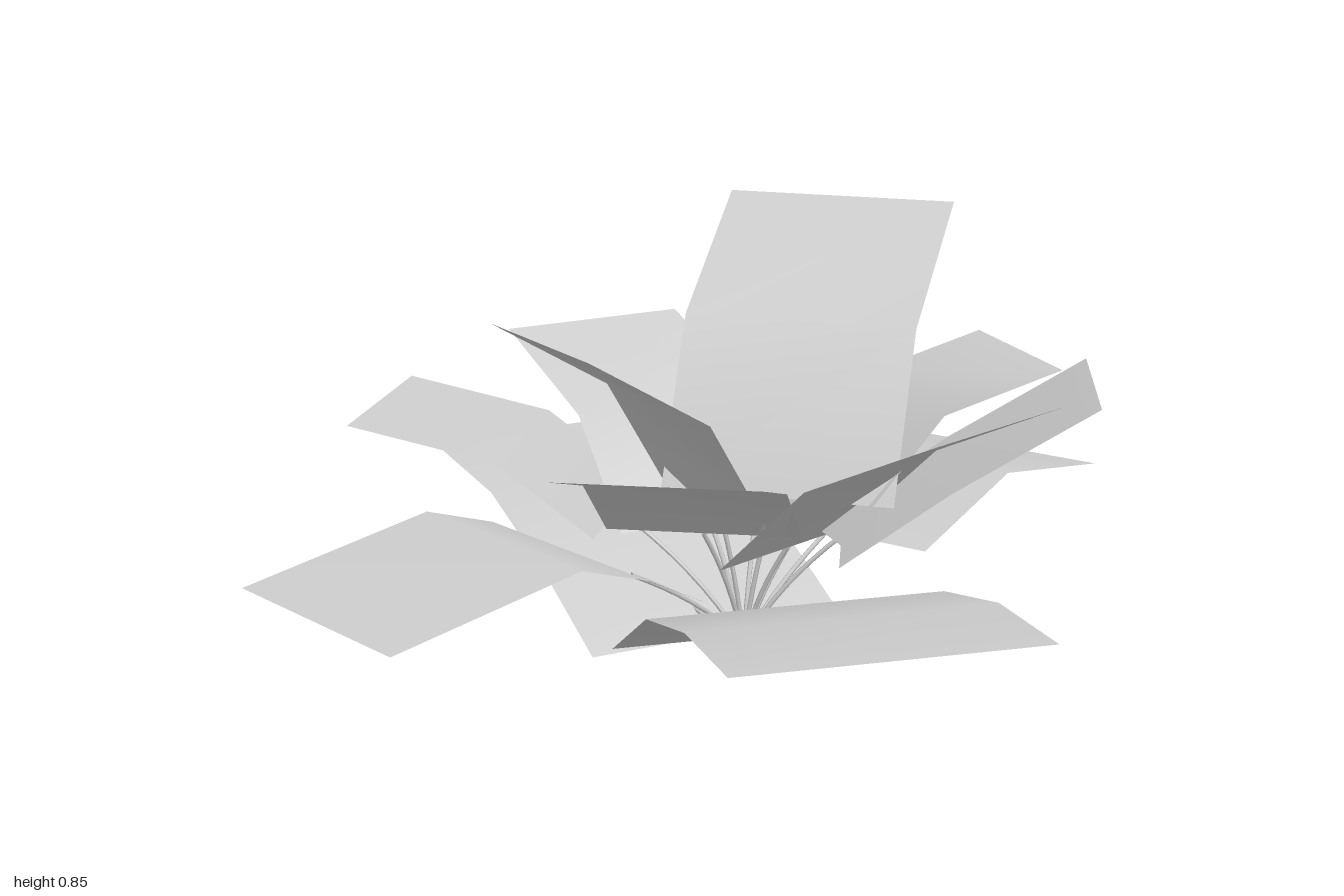
import * as THREE from 'three';

// Each leaf: name, left and right tip corners [x, z] seen looking outward,
// then rows from tip to base as [distance inward from tip, height].
const LEAVES = [
  ['lowBackLeaf', [-0.27, -0.94], [0.30, -0.94], [[0, 0.25], [0.32, 0.215], [0.57, 0.12], [0.81, 0]]],
  ['lowLeftLeaf', [0.79, -0.62], [0.99, -0.19], [[0, 0.215], [0.38, 0.28], [0.70, 0.19]]],
  ['lowRightLeaf', [-0.9, 0.42], [-1.0, -0.05], [[0, 0.285], [0.40, 0.35], [0.55, 0.30], [0.70, 0.22]]],
  ['lowFrontLeaf', [0.085, 0.935], [-0.475, 0.81], [[0, 0.30], [0.27, 0.285], [0.54, 0.22], [0.81, 0.07]]],
  ['backRightLeaf', [-0.70, -0.30], [-0.44, -0.62], [[0, 0.49], [0.29, 0.43], [0.48, 0.29]]],
  ['frontRightLeaf', [-0.28, 0.58], [-0.58, 0.35], [[0, 0.525], [0.295, 0.435], [0.5, 0.29]]],
  ['frontLeftLeaf', [0.68, 0.18], [0.46, 0.53], [[0, 0.565], [0.27, 0.40], [0.48, 0.25]]],
  ['backLeftLeaf', [0.34, -0.625], [0.60, -0.35], [[0, 0.475], [0.29, 0.42], [0.47, 0.295]]],
  ['frontLeaf', [0.395, 0.497], [0.027, 0.625], [[0, 0.57], [0.29, 0.435], [0.5, 0.24]]],
  ['leftLeaf', [0.625, -0.12], [0.567, 0.257], [[0, 0.57], [0.25, 0.50], [0.46, 0.26]]],
  ['backLeaf', [-0.22, -0.62], [0.176, -0.63], [[0, 0.565], [0.32, 0.45], [0.50, 0.25]]],
  ['uprightRightLeaf', [-0.433, 0.22], [-0.455, -0.166], [[0, 0.69], [0.25, 0.54], [0.39, 0.30]]],
  ['tallLeaf', [0.214, -0.44], [0.54, -0.096], [[0, 0.85], [0.30, 0.65], [0.455, 0.33]]],
];

export function createModel() {
  const plant = new THREE.Group();
  plant.name = 'plant';
  const grey = new THREE.MeshStandardMaterial({ color: 0xcccccc, side: THREE.DoubleSide });
  grey.name = 'leafGrey';

  for (const [name, left, right, rows] of LEAVES) {
    const width = Math.hypot(right[0] - left[0], right[1] - left[1]);
    // outward direction, at right angles to the tip edge
    const ux = (right[1] - left[1]) / width;
    const uz = -(right[0] - left[0]) / width;

    // bent rectangular blade
    const blade = new THREE.PlaneGeometry(1, 1, 1, rows.length - 1);
    const pos = blade.attributes.position;
    rows.forEach(([inward, y], i) => {
      [left, right].forEach((corner, j) => {
        pos.setXYZ(i * 2 + j, corner[0] - ux * inward, y, corner[1] - uz * inward);
      });
    });
    blade.computeVertexNormals();
    const leaf = new THREE.Mesh(blade, grey);
    leaf.name = name;
    plant.add(leaf);

    // thin stem curving from the root to the base of the blade
    const [inward, y] = rows[rows.length - 1];
    const bx = (left[0] + right[0]) / 2 - ux * inward;
    const bz = (left[1] + right[1]) / 2 - uz * inward;
    const path = new THREE.QuadraticBezierCurve3(
      new THREE.Vector3(0, 0.025, 0),
      new THREE.Vector3(bx * 0.35, 0.025 + (y - 0.025) * 0.55, bz * 0.35),
      new THREE.Vector3(bx, Math.max(y, 0.025), bz),
    );
    const stem = new THREE.Mesh(new THREE.TubeGeometry(path, 8, 0.005, 5), grey);
    stem.name = name + 'Stem';
    plant.add(stem);
  }

  // long low stem running under the back leaf
  const runner = new THREE.CatmullRomCurve3([
    new THREE.Vector3(0, 0.025, 0),
    new THREE.Vector3(0, 0.03, -0.15),
    new THREE.Vector3(0, 0.05, -0.28),
    new THREE.Vector3(0, 0.095, -0.40),
  ]);
  const backStem = new THREE.Mesh(new THREE.TubeGeometry(runner, 10, 0.005, 5), grey);
  backStem.name = 'backRunnerStem';
  plant.add(backStem);

  return plant;
}
